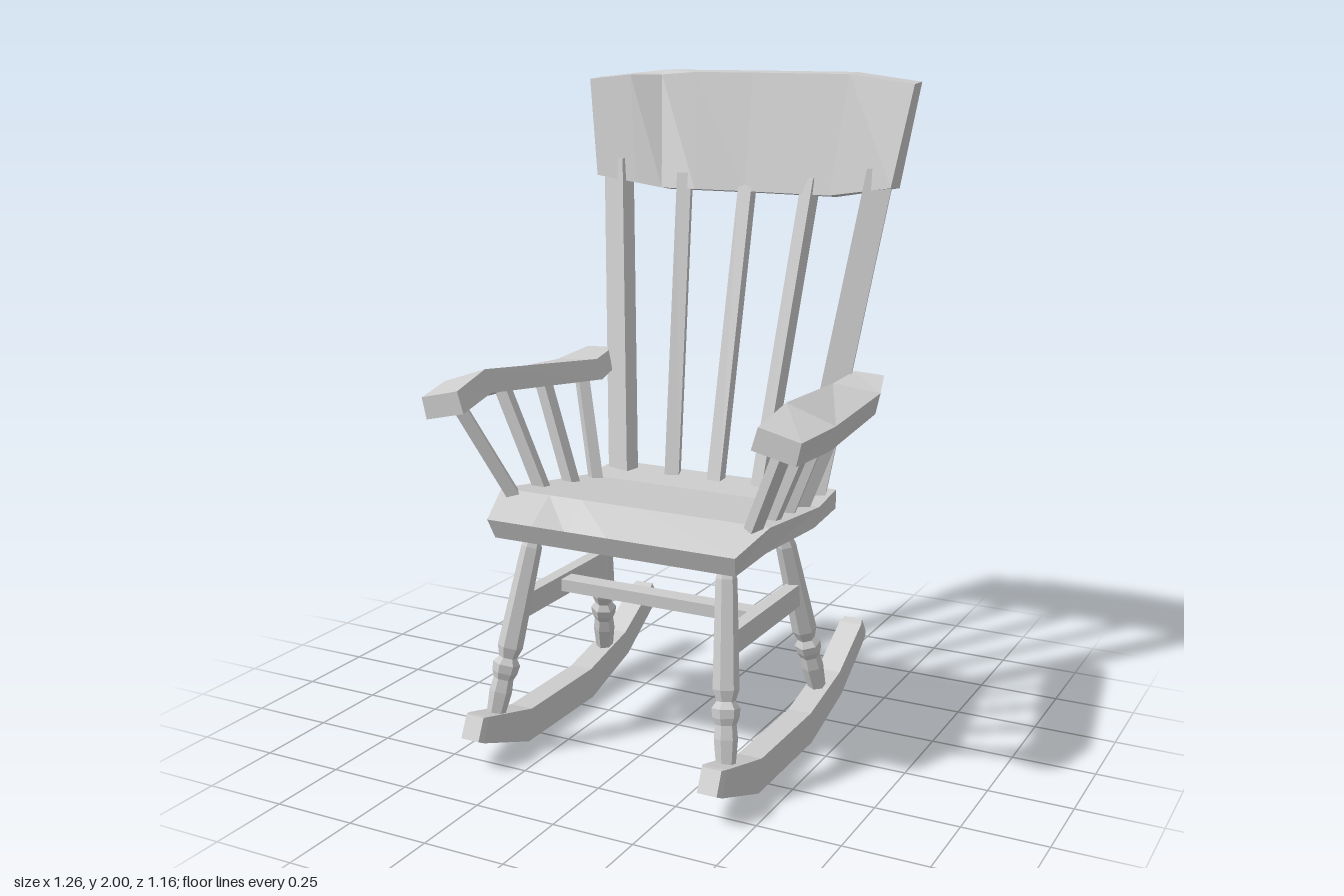
import * as THREE from 'three';

const V = (x, y, z) => new THREE.Vector3(x, y, z);
const material = new THREE.MeshStandardMaterial({ color: 0xcccccc, flatShading: true });

// Solid through a row of matching rings, with closed ends.
function loft(rings) {
  const n = rings[0].length, last = rings.length - 1, tris = [];
  for (let i = 0; i < last; i++) {
    for (let j = 0; j < n; j++) {
      const k = (j + 1) % n;
      const a = rings[i][j], b = rings[i][k], c = rings[i + 1][k], d = rings[i + 1][j];
      tris.push([a, b, c], [a, c, d]);
    }
  }
  for (let j = 1; j < n - 1; j++) {
    tris.push([rings[0][0], rings[0][j + 1], rings[0][j]]);
    tris.push([rings[last][0], rings[last][j], rings[last][j + 1]]);
  }
  // Turn the faces outward, whichever way the rings run
  const volume = tris.reduce((s, [a, b, c]) => s + a.dot(b.clone().cross(c)), 0);
  if (volume < 0) tris.forEach(t => t.reverse());
  const geometry = new THREE.BufferGeometry().setFromPoints(tris.flat());
  geometry.computeVertexNormals();
  return geometry;
}

// Straight bar between two points, with level ends turned by yaw.
function bar(a, b, w, d, yaw = 0) {
  const ring = p => [[-1, -1], [1, -1], [1, 1], [-1, 1]].map(([i, j]) =>
    V(i * w / 2, 0, j * d / 2).applyAxisAngle(V(0, 1, 0), yaw).add(p));
  return loft([ring(a), ring(b)]);
}

// Turned leg running from its top point to its bottom point.
function turnedLeg(top, bottom) {
  const length = top.distanceTo(bottom);
  const profile = [[0, 0], [0.024, 0], [0.034, 0.18], [0.03, 0.24], [0.038, 0.27], [0.041, 0.31],
    [0.027, 0.34], [0.038, 0.39], [0.031, 0.86], [0.025, 0.89], [0.033, 0.92], [0.029, 1], [0, 1]];
  const geometry = new THREE.LatheGeometry(
    profile.map(([r, t]) => new THREE.Vector2(r, t * length)), 6);
  const turn = new THREE.Quaternion().setFromUnitVectors(V(0, 1, 0), top.clone().sub(bottom).normalize());
  return geometry.applyQuaternion(turn).translate(bottom.x, bottom.y, bottom.z);
}

export function createModel() {
  const group = new THREE.Group();
  const add = (name, geometry) => {
    const mesh = new THREE.Mesh(geometry, material);
    mesh.name = name;
    group.add(mesh);
  };

  // Seat: stations back to front as [z top, y top, half width top, z bottom, y bottom, half width bottom]
  const columns = [-1, -0.62, -0.37, 0, 1];
  const seat = [
    [-0.31, 0.74, 0.39, -0.31, 0.68, 0.39],
    [-0.14, 0.73, 0.405, -0.1, 0.675, 0.405],
    [0.3, 0.79, 0.44, 0.3, 0.715, 0.43],
    [0.44, 0.735, 0.4, 0.415, 0.675, 0.39],
  ].map(([zt, yt, wt, zb, yb, wb], i) => [
    // small worn dip in the front edge
    ...columns.map((u, j) => {
      const worn = i === 3 && j === 2;
      return V(u * wt, yt - (worn ? 0.015 : 0), zt - (worn ? 0.02 : 0));
    }),
    ...columns.map(u => V(u * wb, yb, zb)).reverse(),
  ]);
  add('seat', loft(seat));

  // Headrest: corner order is top back, top front, bottom front, bottom back
  const middle = [V(0, 2, -0.58), V(0, 1.995, -0.51), V(0, 1.63, -0.455), V(0, 1.62, -0.52)];
  const shoulder = [V(0.33, 2, -0.56), V(0.33, 1.995, -0.495), V(0.29, 1.63, -0.445), V(0.29, 1.62, -0.51)];
  const end = [V(0.555, 1.975, -0.515), V(0.555, 1.97, -0.45), V(0.505, 1.665, -0.405), V(0.51, 1.66, -0.47)];
  const mirror = ring => ring.map(p => V(-p.x, p.y, p.z));
  const blend = (a, b, t) => a.map((p, i) => p.clone().lerp(b[i], t));
  const wornShoulder = mirror(shoulder);
  wornShoulder[1].add(V(0, -0.01, -0.03)); // shallow dip in the top edge
  add('headrest', loft([
    mirror(end), mirror(blend(shoulder, end, 0.4)), wornShoulder,
    mirror(blend(middle, shoulder, 0.6)), middle, shoulder, end,
  ]));

  // Back spindles
  for (const s of [-1, 0, 1]) {
    add('backSpindle', bar(V(s * 0.153, 0.71, -0.255), V(s * 0.22, 1.68, -0.485 + Math.abs(s) * 0.01),
      0.046, 0.04, s * -0.3));
  }

  for (const s of [-1, 1]) {
    // Back post
    add('backPost', bar(V(s * 0.33, 0.71, -0.25), V(s * 0.455, 1.72, -0.47 + 0.01), 0.085, 0.05, s * 0.3));

    // Armrest: stations as [z, inner x, inner top y, outer x, outer top y, thickness]
    const arm = [
      [-0.355, 0.425, 1.11, 0.52, 1.105, 0.055],
      [-0.22, 0.408, 1.095, 0.56, 1.08, 0.065],
      [0.305, 0.485, 1.15, 0.63, 1.1, 0.07],
      [0.465, 0.475, 1.115, 0.6, 1.085, 0.065],
    ].map(([z, xi, yi, xo, yo, t]) => [
      V(s * xi, yi, z), V(s * xo, yo, z),
      V(s * (xo - 0.015), yo - t, z), V(s * (xi - 0.02), yi - t, z),
    ]);
    add('armrest', loft(arm));

    // Arm spindles: [bottom x, bottom z, top x, top z]
    for (const [xb, zb, xt, zt] of [
      [0.36, 0.29, 0.535, 0.4], [0.36, 0.163, 0.515, 0.177],
      [0.355, 0.018, 0.49, -0.012], [0.35, -0.11, 0.465, -0.21],
    ]) {
      add('armSpindle', bar(V(s * xb, 0.71, zb), V(s * xt, 1.08, zt), 0.042, 0.036,
        -Math.atan2(zt - zb, s * (xt - xb))));
    }

    // Legs
    add('frontLeg', turnedLeg(V(s * 0.31, 0.72, 0.305), V(s * 0.387, 0.09, 0.46)));
    add('rearLeg', turnedLeg(V(s * 0.31, 0.7, -0.065), V(s * 0.387, 0.09, -0.215)));

    // Side stretcher
    const stretcher = new THREE.BoxGeometry(0.04, 0.07, 0.48);
    add('sideStretcher', stretcher.translate(s * 0.342, 0.455, 0.13));

    // Rocker: stations as [z top, y top, z bottom, y bottom, half width]
    const rocker = [
      [0.55, 0.165, 0.58, 0.1, 0.03], [0.53, 0.162, 0.56, 0.09, 0.037],
      [0.3, 0.1, 0.32, 0, 0.037], [-0.06, 0.1, -0.07, 0, 0.037],
      [-0.29, 0.15, -0.31, 0.07, 0.037], [-0.47, 0.25, -0.51, 0.195, 0.037],
      [-0.495, 0.26, -0.53, 0.21, 0.03],
    ].map(([zt, yt, zb, yb, w]) => [
      V(s * 0.387 - w, yt, zt), V(s * 0.387 + w, yt, zt),
      V(s * 0.387 + w, yb, zb), V(s * 0.387 - w, yb, zb),
    ]);
    add('rocker', loft(rocker));
  }

  // Cross stretcher
  add('crossStretcher', new THREE.BoxGeometry(0.66, 0.038, 0.06).translate(0, 0.46, 0.13));

  return group;
}
